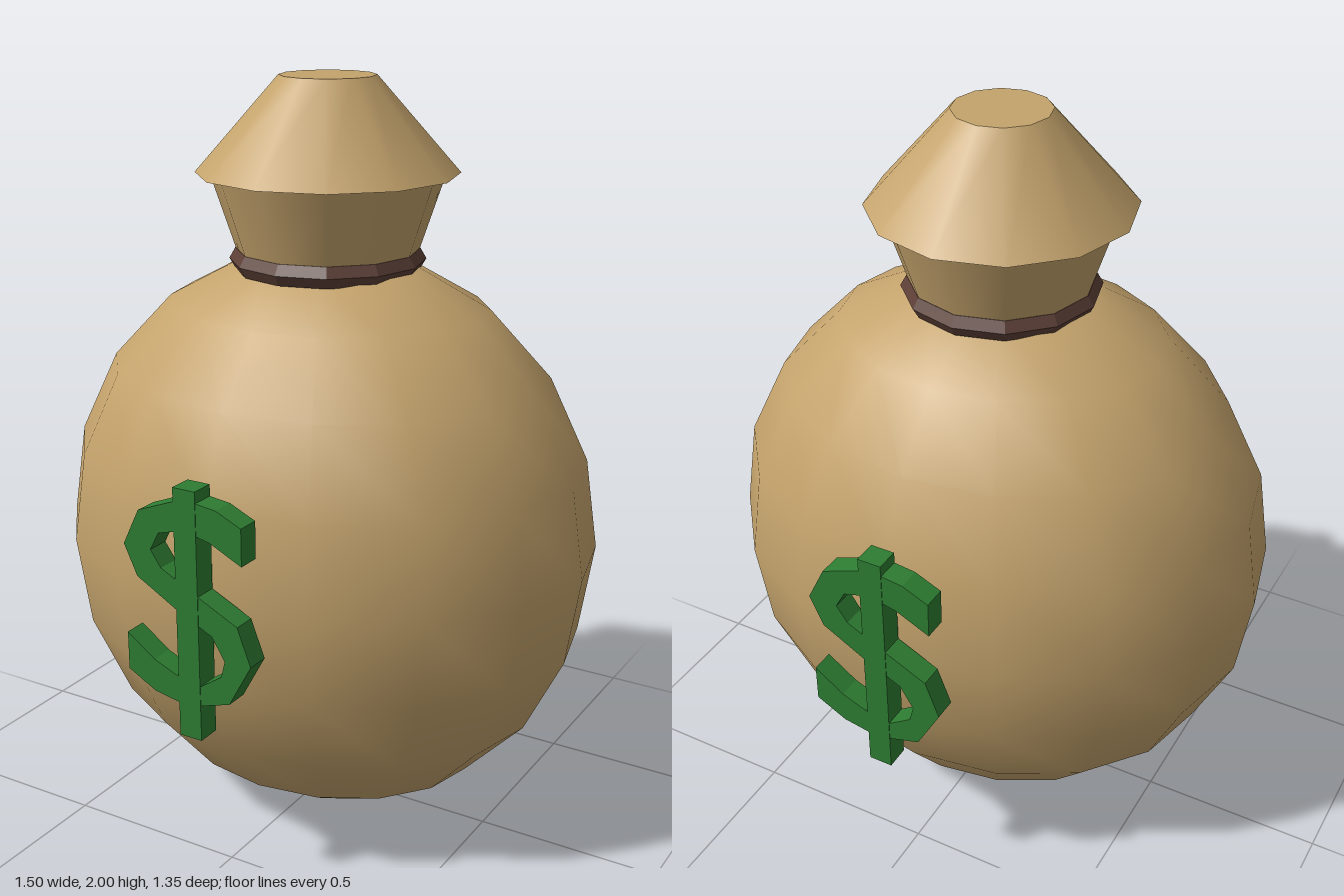
import * as THREE from 'three';

export function createModel() {
  const cloth = new THREE.MeshStandardMaterial({ color: 0xc4a36c });
  cloth.name = 'tan cloth';
  const cord = new THREE.MeshStandardMaterial({ color: 0x5d4037, flatShading: true });
  cord.name = 'brown cord';
  const green = new THREE.MeshStandardMaterial({ color: 0x2e7d32 });
  green.name = 'green';

  const model = new THREE.Group();
  model.name = 'sack';
  const add = (parent, name, geometry, material, y = 0) => {
    const mesh = new THREE.Mesh(geometry, material);
    mesh.name = name;
    mesh.position.y = y;
    parent.add(mesh);
    return mesh;
  };

  // Round belly, flattened front to back
  const belly = add(model, 'belly', new THREE.SphereGeometry(1, 16, 10), cloth, 0.782);
  belly.scale.set(0.75, 0.782, 0.62);

  // Gathered neck and the flared top above it
  add(model, 'neck', new THREE.CylinderGeometry(0.305, 0.22, 0.255, 12), cloth, 1.6275);
  add(model, 'gatheredTop', new THREE.CylinderGeometry(0.125, 0.342, 0.245, 12), cloth, 1.8775);

  // Cord tied round the neck
  const tie = new THREE.TorusGeometry(0.225, 0.032, 6, 12).rotateX(Math.PI / 2);
  add(model, 'tie', tie, cord, 1.532);

  // Raised emblem: a double curve crossed by an upright bar
  const outline = [
    [0.165, 1.035], [0.095, 1.066], [0, 1.077], [-0.133, 1.024], [-0.18, 0.928],
    [-0.143, 0.849], [-0.027, 0.785], [0.075, 0.738], [0.111, 0.68], [0.1, 0.637],
    [0.037, 0.594], [-0.027, 0.605], [-0.1, 0.634], [-0.18, 0.69], [-0.18, 0.589], [-0.1, 0.547],
    [0, 0.53], [0.122, 0.568], [0.186, 0.684], [0.149, 0.78], [0.037, 0.833],
    [-0.07, 0.886], [-0.1, 0.928], [-0.074, 0.976], [0, 0.997], [0.075, 0.981],
    [0.165, 0.939],
  ].map(([x, y]) => new THREE.Vector2(x, y));
  const curve = new THREE.ExtrudeGeometry(new THREE.Shape(outline), { depth: 0.061, bevelEnabled: false });
  curve.translate(0, 0, 0.61);
  const bar = new THREE.BoxGeometry(0.064, 0.657, 0.063).translate(0.005, 0.774, 0.641);

  ['frontEmblem', 'backEmblem'].forEach((name, i) => {
    const emblem = new THREE.Group();
    emblem.name = name;
    add(emblem, 'emblemCurve', curve, green);
    add(emblem, 'emblemBar', bar, green);
    emblem.rotation.y = i * Math.PI;
    model.add(emblem);
  });

  return model;
}
